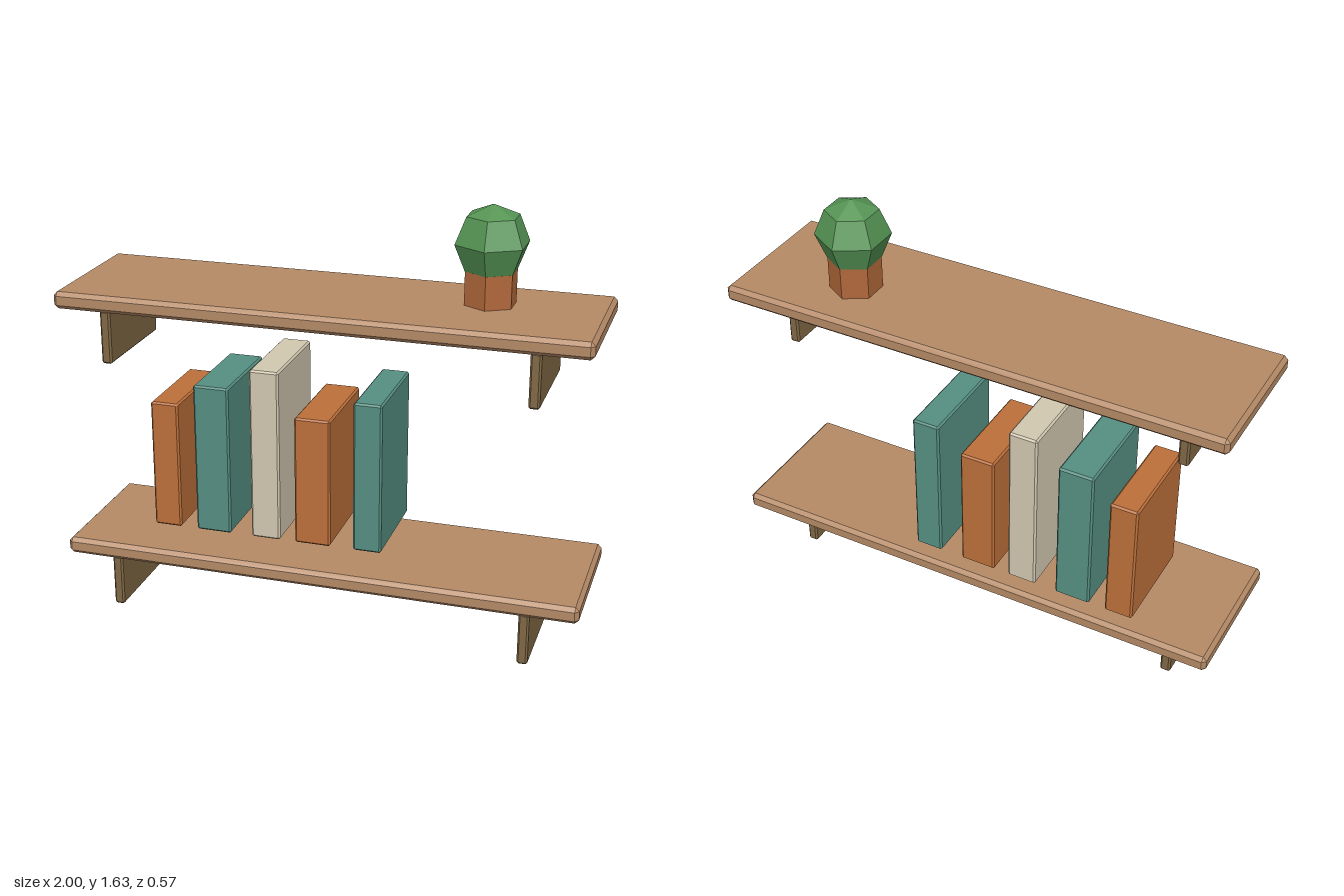
import * as THREE from 'three';
import { ConvexGeometry } from 'three/addons/geometries/ConvexGeometry.js';

const material = (color) => new THREE.MeshStandardMaterial({ color, flatShading: true });
const wood = material(0xb58a66);
const darkWood = material(0x806845);
const orange = material(0xbd703a);
const teal = material(0x568f82);
const cream = material(0xd2c8b0);
const clay = material(0xb0683a);
const leaf = material(0x559454);

// Box between two corners with every edge chamfered by c
function chamferBox(name, mat, [x0, y0, z0], [x1, y1, z1], c) {
  const half = [(x1 - x0) / 2, (y1 - y0) / 2, (z1 - z0) / 2];
  const points = [];
  for (const sx of [-1, 1]) for (const sy of [-1, 1]) for (const sz of [-1, 1]) {
    for (let axis = 0; axis < 3; axis++) {
      const p = half.map((h, i) => (i === axis ? h : h - c));
      points.push(new THREE.Vector3(sx * p[0], sy * p[1], sz * p[2]));
    }
  }
  const mesh = new THREE.Mesh(new ConvexGeometry(points), mat);
  mesh.position.set((x0 + x1) / 2, (y0 + y1) / 2, (z0 + z1) / 2);
  mesh.name = name;
  return mesh;
}

// Board on two side brackets
function createShelf(name) {
  const shelf = new THREE.Group();
  shelf.name = name;
  shelf.add(chamferBox('board', wood, [-1, 0.2, -0.285], [1, 0.265, 0.285], 0.015));
  for (const x of [-0.8, 0.8]) {
    shelf.add(chamferBox('bracket', darkWood, [x - 0.02, 0, -0.155], [x + 0.02, 0.205, 0.27], 0.007));
  }
  return shelf;
}

export function createModel() {
  const model = new THREE.Group();
  model.name = 'wallShelves';

  const lower = createShelf('lowerShelf');
  const upper = createShelf('upperShelf');
  upper.position.y = 1;
  model.add(lower, upper);

  // Row of books: left edge, right edge, top, cover
  const books = new THREE.Group();
  books.name = 'books';
  for (const [x0, x1, top, cover] of [
    [-0.69, -0.58, 0.815, orange],
    [-0.515, -0.375, 0.9, teal],
    [-0.29, -0.175, 0.985, cream],
    [-0.115, 0.025, 0.815, orange],
    [0.115, 0.225, 0.9, teal],
  ]) {
    books.add(chamferBox('book', cover, [x0, 0.305, -0.255], [x1, top, 0.14], 0.007));
  }
  model.add(books);

  // Six-sided pot with a round bush
  const plant = new THREE.Group();
  plant.name = 'pottedPlant';
  plant.position.set(0.57, 1.265, -0.055);
  const pot = new THREE.Mesh(new THREE.CylinderGeometry(0.099, 0.099, 0.125, 6), clay);
  pot.name = 'pot';
  pot.position.y = 0.0625;
  const bush = new THREE.Mesh(new THREE.SphereGeometry(0.141, 6, 4), leaf);
  bush.name = 'bush';
  bush.position.y = 0.225;
  bush.rotation.y = Math.PI / 2;
  plant.add(pot, bush);
  model.add(plant);

  return model;
}
